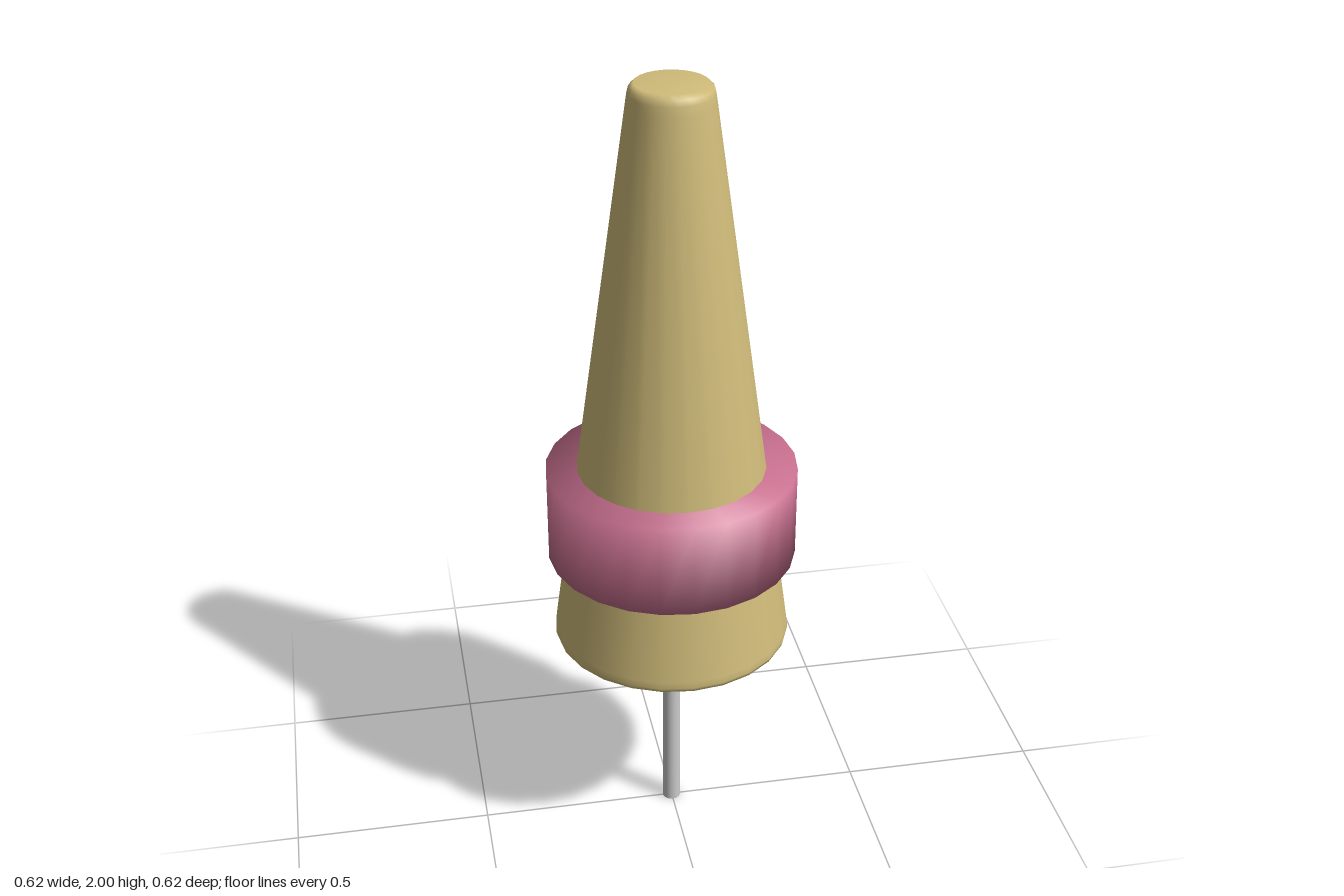
import * as THREE from 'three';
import { mergeVertices } from 'three/addons/utils/BufferGeometryUtils.js';

const SIDES = 24;

function addPart(group, name, geometry, color, y = 0) {
  const mesh = new THREE.Mesh(geometry, new THREE.MeshStandardMaterial({ color }));
  mesh.name = name;
  mesh.position.y = y;
  group.add(mesh);
}

// Cylinder whose walls and caps share smooth normals
function softCylinder(radius, height) {
  const g = new THREE.CylinderGeometry(radius, radius, height, SIDES);
  g.deleteAttribute('normal');
  g.deleteAttribute('uv');
  const merged = mergeVertices(g, 1e-4);
  merged.computeVertexNormals();
  return merged;
}

export function createModel() {
  const group = new THREE.Group();

  // Tapered body with small rounded rims, listed bottom to top
  const profile = [
    [0, 0.553], [0.27, 0.553], [0.285, 0.553], [0.294, 0.558], [0.297, 0.568],
    [0.295, 0.585], [0.103, 1.955], [0.1, 1.976], [0.096, 1.99], [0.085, 2], [0, 2],
  ].map(([r, y]) => new THREE.Vector2(r, y));
  addPart(group, 'coneBody', new THREE.LatheGeometry(profile, SIDES), 0xd0bc7a);

  // Wide band around the body
  addPart(group, 'band', softCylinder(0.309, 0.236), 0xc8708f, 0.913);

  // Thin stem underneath
  addPart(group, 'stem', new THREE.CylinderGeometry(0.023, 0.023, 0.58, SIDES), 0xcccccc, 0.29);

  return group;
}
